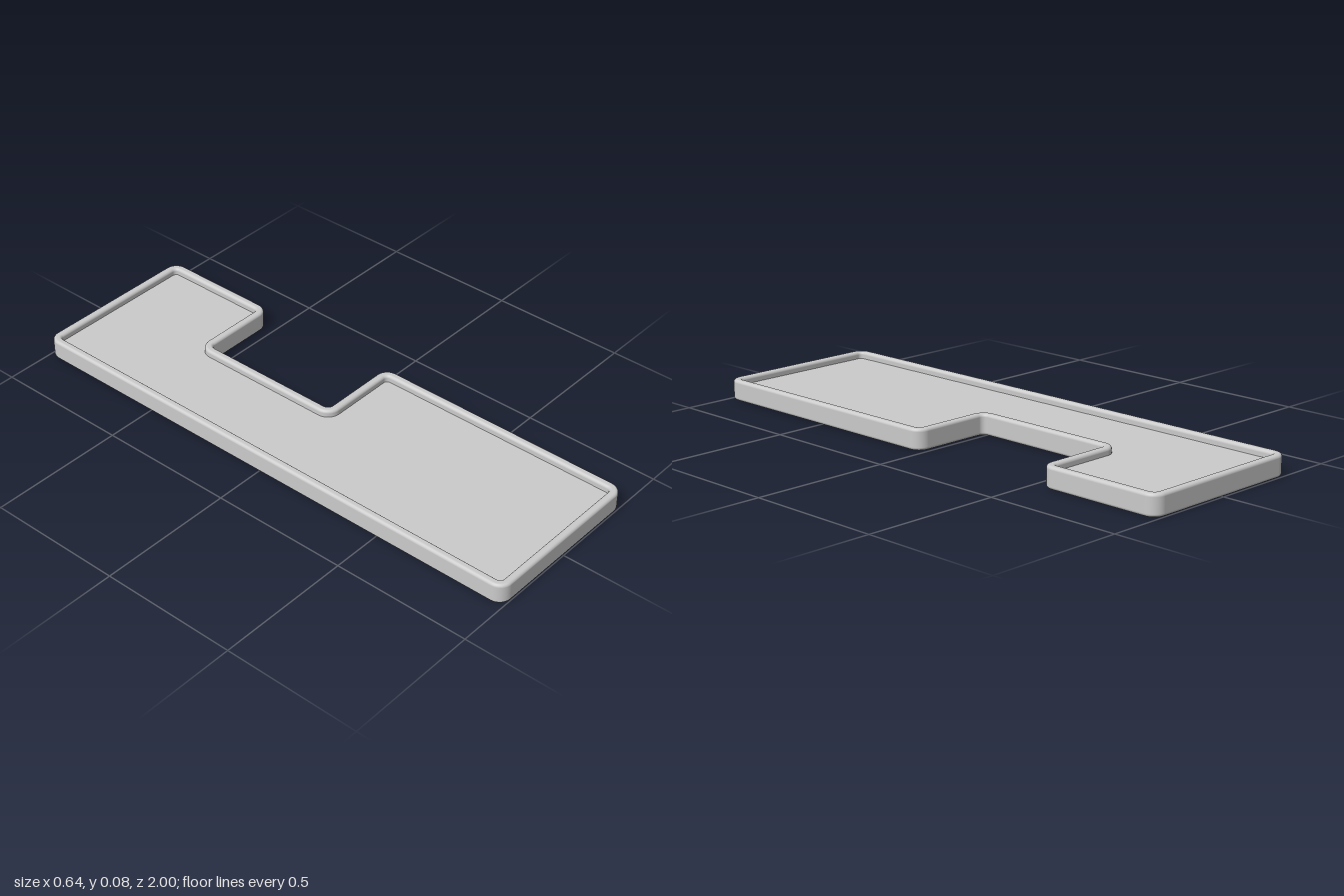
import * as THREE from 'three';

const HEIGHT = 0.075, RIM = 0.03, FILLET = 0.011;
const FLOOR_LOW = 0.025, FLOOR_HIGH = 0.05;

// plan corners as x, z, radius, with a notch in the left side
const CORNERS = [
  [-0.32, -1, 0.045], [0.32, -1, 0.045], [0.32, -0.535, 0.045], [0.02, -0.535, 0.02],
  [0.02, 0.01, 0.02], [0.32, 0.01, 0.045], [0.32, 1, 0.045], [-0.32, 1, 0.045],
];

// rounded outline: points with their outward normals
function roundedOutline(steps = 8) {
  const count = CORNERS.length;
  const points = CORNERS.map(([x, z]) => new THREE.Vector2(x, z));
  const result = [];
  points.forEach((p, i) => {
    const e0 = p.clone().sub(points[(i + count - 1) % count]).normalize();
    const e1 = points[(i + 1) % count].clone().sub(p).normalize();
    const n0 = new THREE.Vector2(e0.y, -e0.x);
    const n1 = new THREE.Vector2(e1.y, -e1.x);
    const r = CORNERS[i][2] * Math.sign(e0.cross(e1)); // negative at inward corners
    const centre = p.clone().addScaledVector(n0, -r).addScaledVector(n1, -r);
    for (let k = 0; k <= steps; k++) {
      const t = (k / steps) * Math.PI / 2;
      const n = n0.clone().multiplyScalar(Math.cos(t)).addScaledVector(n1, Math.sin(t));
      result.push({ p: centre.clone().addScaledVector(n, r), n });
    }
  });
  return result;
}

// rounded rectangle cross-section of the rim: inset, height and normal angle
function rimProfile(steps = 5) {
  const profile = [];
  for (let q = 0; q < 4; q++) {
    const inset = q === 0 || q === 3 ? FILLET : RIM - FILLET;
    const y = q < 2 ? HEIGHT - FILLET : FILLET;
    for (let k = 0; k <= steps; k++) {
      const a = (q + k / steps) * Math.PI / 2;
      profile.push({
        inset: inset - FILLET * Math.cos(a), y: y + FILLET * Math.sin(a),
        out: Math.cos(a), up: Math.sin(a),
      });
    }
  }
  return profile;
}

// sweep the rim section round the outline
function rimGeometry(outline) {
  const profile = rimProfile();
  const rows = outline.length, cols = profile.length;
  const position = [], normal = [], index = [];
  outline.forEach(({ p, n }, i) => {
    profile.forEach((s, j) => {
      position.push(p.x - n.x * s.inset, s.y, p.y - n.y * s.inset);
      normal.push(n.x * s.out, s.up, n.y * s.out);
      const i2 = (i + 1) % rows, j2 = (j + 1) % cols;
      const a = i * cols + j, b = i * cols + j2, c = i2 * cols + j2, d = i2 * cols + j;
      index.push(a, b, d, b, c, d);
    });
  });
  const geometry = new THREE.BufferGeometry();
  geometry.setAttribute('position', new THREE.Float32BufferAttribute(position, 3));
  geometry.setAttribute('normal', new THREE.Float32BufferAttribute(normal, 3));
  geometry.setIndex(index);
  return geometry;
}

// flat plate whose edge is buried in the rim
function floorGeometry(outline) {
  const shape = new THREE.Shape(outline.map(({ p, n }) => p.clone().addScaledVector(n, -RIM / 2)));
  const geometry = new THREE.ExtrudeGeometry(shape, { depth: FLOOR_HIGH - FLOOR_LOW, bevelEnabled: false });
  return geometry.rotateX(Math.PI / 2).translate(0, FLOOR_HIGH, 0);
}

export function createModel() {
  const group = new THREE.Group();
  group.name = 'notchedTray';
  const material = new THREE.MeshStandardMaterial({ color: 0xcccccc });
  const outline = roundedOutline();

  const rim = new THREE.Mesh(rimGeometry(outline), material);
  rim.name = 'rim';
  const floor = new THREE.Mesh(floorGeometry(outline), material);
  floor.name = 'floor';

  group.add(rim, floor);
  return group;
}
